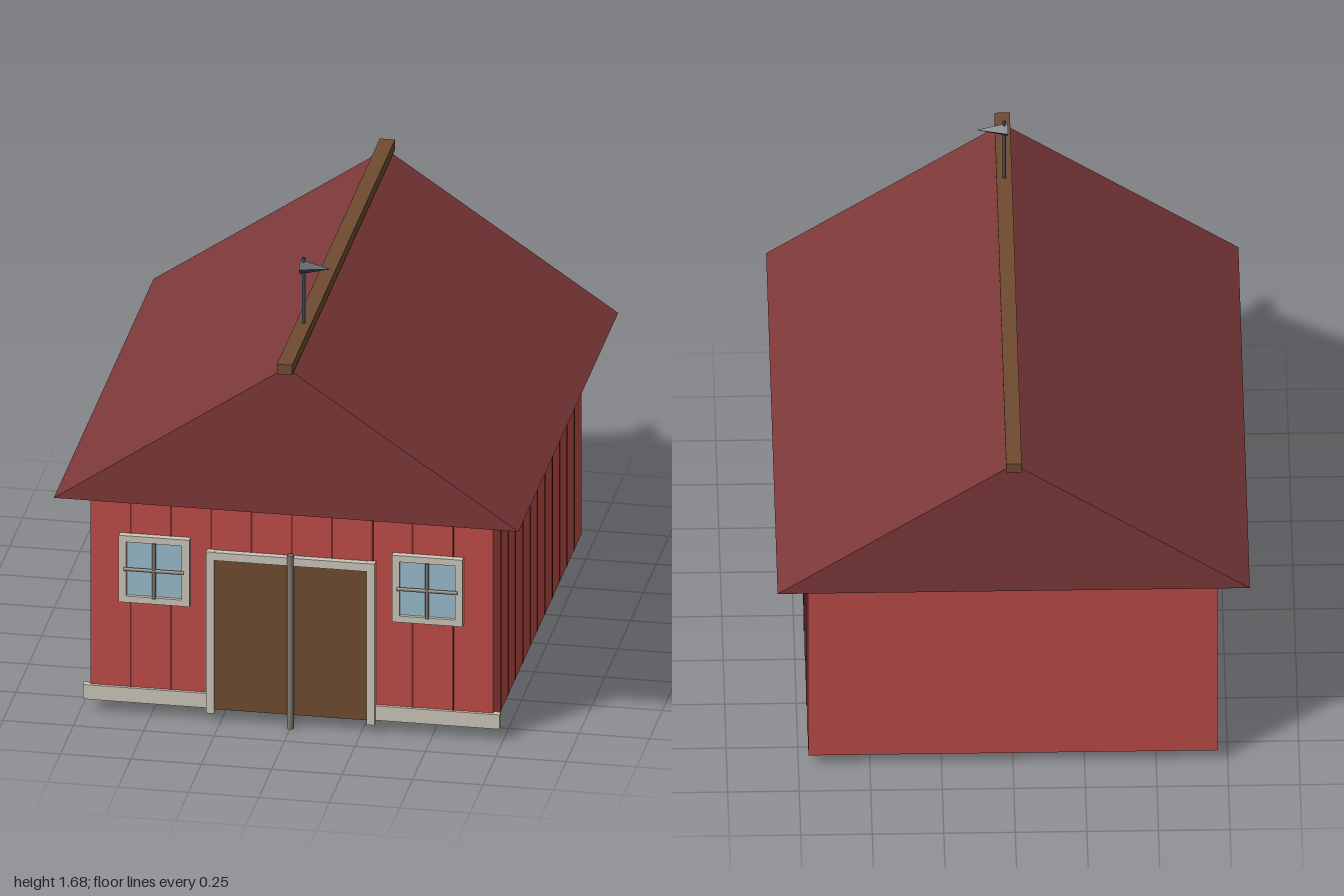
import * as THREE from 'three';

const mat = (name, color) => {
  const m = new THREE.MeshStandardMaterial({ color });
  m.name = name;
  return m;
};

export function createModel() {
  const wallRed = mat('wall red', 0xbf4c48);
  const seamRed = mat('seam dark red', 0x6e2a2a);
  const roofRed = mat('roof red', 0x7d3839);
  const wood = mat('brown wood', 0x6f4c30);
  const trim = mat('cream trim', 0xcdc7b8);
  const bars = mat('grey bars', 0x7d7871);
  const glass = mat('window glass', 0x9abccd);
  const iron = mat('dark iron', 0x434d57);

  const barn = new THREE.Group();
  barn.name = 'barn';

  const add = (name, geometry, material, x = 0, y = 0, z = 0, parent = barn) => {
    const mesh = new THREE.Mesh(geometry, material);
    mesh.name = name;
    mesh.position.set(x, y, z);
    parent.add(mesh);
    return mesh;
  };
  // Box given by its low and high limits on each axis
  const box = (name, material, [x0, x1], [y0, y1], [z0, z1], parent = barn) =>
    add(name, new THREE.BoxGeometry(x1 - x0, y1 - y0, z1 - z0), material,
      (x0 + x1) / 2, (y0 + y1) / 2, (z0 + z1) / 2, parent);

  const W = 0.715, D = 0.858, FLOOR = 0.047, EAVE = 0.85;

  // Walls
  box('walls', wallRed, [-W, W], [FLOOR, EAVE], [-D, D]);

  // Plank seams on the front and both long sides
  const seams = new THREE.Group();
  seams.name = 'plankSeams';
  barn.add(seams);
  const step = 0.143;
  for (let i = -4; i <= 4; i++) {
    const x = i * step;
    box('frontSeam', seamRed, [x - 0.003, x + 0.003], [FLOOR, EAVE], [D - 0.001, D + 0.002], seams);
  }
  for (let i = -5; i <= 5; i++) {
    const z = i * step;
    for (const s of [-1, 1]) {
      const m = box('sideSeam', seamRed, [-0.0015, 0.0015], [FLOOR, EAVE], [z - 0.003, z + 0.003], seams);
      m.position.x = s * (W + 0.0005);
    }
  }

  // Solid gable roof
  const gable = new THREE.Shape([
    new THREE.Vector2(-0.825, EAVE),
    new THREE.Vector2(0.825, EAVE),
    new THREE.Vector2(0, 1.41),
  ]);
  add('roof', new THREE.ExtrudeGeometry(gable, { depth: 1.94, bevelEnabled: false }), roofRed, 0, 0, -0.97);
  box('ridgeBeam', wood, [-0.027, 0.027], [1.397, 1.435], [-1, 1]);

  // Weather vane
  const vane = new THREE.Group();
  vane.name = 'weatherVane';
  vane.position.set(0, 0, 0.63);
  barn.add(vane);
  add('vanePole', new THREE.CylinderGeometry(0.006, 0.006, 0.26, 8), iron, 0, 1.555, 0, vane);
  const arrowGeometry = new THREE.ConeGeometry(0.028, 0.11, 4).toNonIndexed();
  arrowGeometry.computeVertexNormals();
  add('vaneArrow', arrowGeometry, iron, 0.043, 1.648, 0, vane).rotation.z = -Math.PI / 2;

  // Sill along the front, and the loft board tucked under the eave
  box('frontSill', trim, [-0.74, 0.74], [0.047, 0.102], [D - 0.014, D + 0.012]);
  box('loftBoard', trim, [-0.16, 0.16], [0.841, 0.87], [D - 0.005, D + 0.018]);

  // Double door with its frame and centre post
  const door = new THREE.Group();
  door.name = 'door';
  barn.add(door);
  for (const s of [-1, 1]) {
    add('doorLeaf', new THREE.BoxGeometry(0.275, 0.575, 0.025), wood, s * 0.1375, 0.335, D + 0.006, door);
    add('doorJamb', new THREE.BoxGeometry(0.029, 0.615, 0.026), trim, s * 0.285, 0.3425, D + 0.017, door);
  }
  add('doorHeader', new THREE.BoxGeometry(0.599, 0.03, 0.025), trim, 0, 0.634, D + 0.017, door);
  add('centrePost', new THREE.CylinderGeometry(0.012, 0.012, 0.66, 12), bars, 0, 0.33, D + 0.027, door);

  // Windows: glass pane, four frame boards and a cross of bars
  for (const s of [-1, 1]) {
    const win = new THREE.Group();
    win.name = s > 0 ? 'leftWindow' : 'rightWindow';
    win.position.set(s * 0.485, 0.56, D);
    barn.add(win);
    add('pane', new THREE.BoxGeometry(0.2, 0.21, 0.009), glass, 0, 0, 0.008, win);
    for (const t of [-1, 1]) {
      add('frameSide', new THREE.BoxGeometry(0.027, 0.254, 0.028), trim, t * 0.112, 0, 0.012, win);
      add('frameRail', new THREE.BoxGeometry(0.2, 0.024, 0.027), trim, 0, t * 0.115, 0.012, win);
    }
    add('uprightBar', new THREE.CylinderGeometry(0.007, 0.007, 0.21, 8), bars, 0, 0, 0.026, win);
    add('crossBar', new THREE.CylinderGeometry(0.007, 0.007, 0.215, 8), bars, 0, 0, 0.026, win)
      .rotation.z = Math.PI / 2;
  }

  return barn;
}
